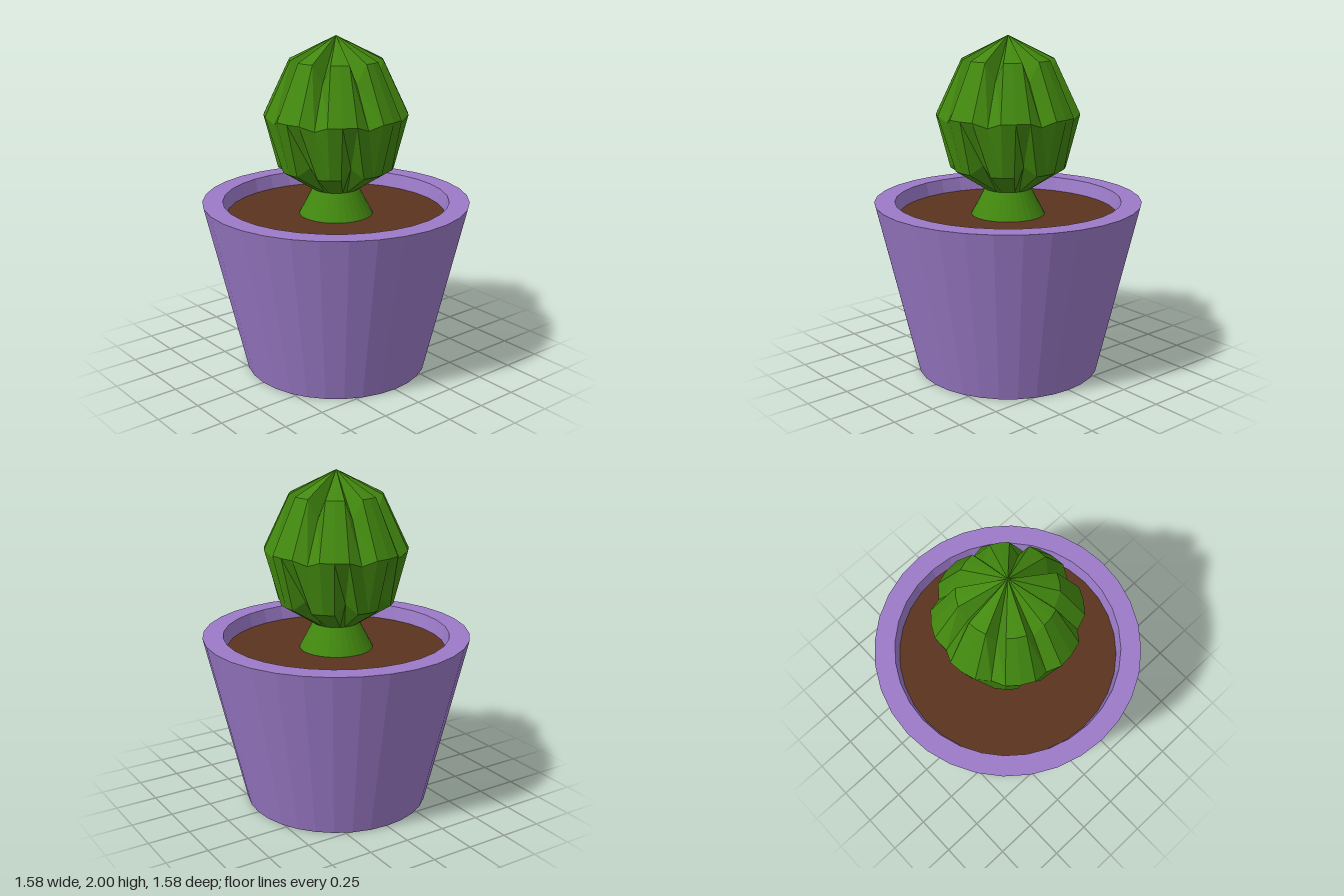
import * as THREE from 'three';

const SIDES = 32;
const PURPLE = 0x9b7ac8, SOIL = 0x59331f, GREEN = 0x42880f;

// Faceted solid of revolution from [radius, height] pairs, listed upwards on the outside
function turned(name, color, profile, reshape) {
  const points = profile.map(([r, y]) => new THREE.Vector2(r, y));
  const geometry = new THREE.LatheGeometry(points, SIDES);
  if (reshape) {
    const pos = geometry.attributes.position;
    for (let col = 0; col <= SIDES; col++) {
      const angle = (col / SIDES) * Math.PI * 2;
      for (let row = 0; row < profile.length; row++) {
        const [r, y] = reshape(col, row, profile[row]);
        pos.setXYZ(col * profile.length + row, r * Math.sin(angle), y, r * Math.cos(angle));
      }
    }
    geometry.computeVertexNormals();
  }
  const material = new THREE.MeshStandardMaterial({ color, flatShading: true });
  const mesh = new THREE.Mesh(geometry, material);
  mesh.name = name;
  return mesh;
}

// Every fourth column sinks into a groove; the lower ring's notches sit one column aside
function groove(col, row, [r, y]) {
  if (row === 1 && col % 4 === 2) return [0.3, 1.29];
  if (row === 2 && col % 4 === 3) return [0.39, 1.52];
  if (row === 3 && col % 4 === 3) return [0.25, 1.755];
  return [r, y];
}

export function createModel() {
  const model = new THREE.Group();
  model.name = 'pottedCactus';

  // Thick-walled pot with a flat rim, open down to the soil
  model.add(turned('pot', PURPLE, [
    [0, 0], [0.55, 0], [0.79, 1.035], [0.67, 1.035], [0.648, 0.94],
  ]));

  // Soil disc
  model.add(turned('soil', SOIL, [[0.65, 0.95], [0, 0.95]]));

  // Flared stem and ribbed body
  model.add(turned('cactusStem', GREEN, [[0.218, 0.95], [0.137, 1.105]]));
  model.add(turned('cactusBody', GREEN, [
    [0.137, 1.105], [0.34, 1.235], [0.42, 1.55], [0.27, 1.865], [0, 2],
  ], groove));

  return model;
}
